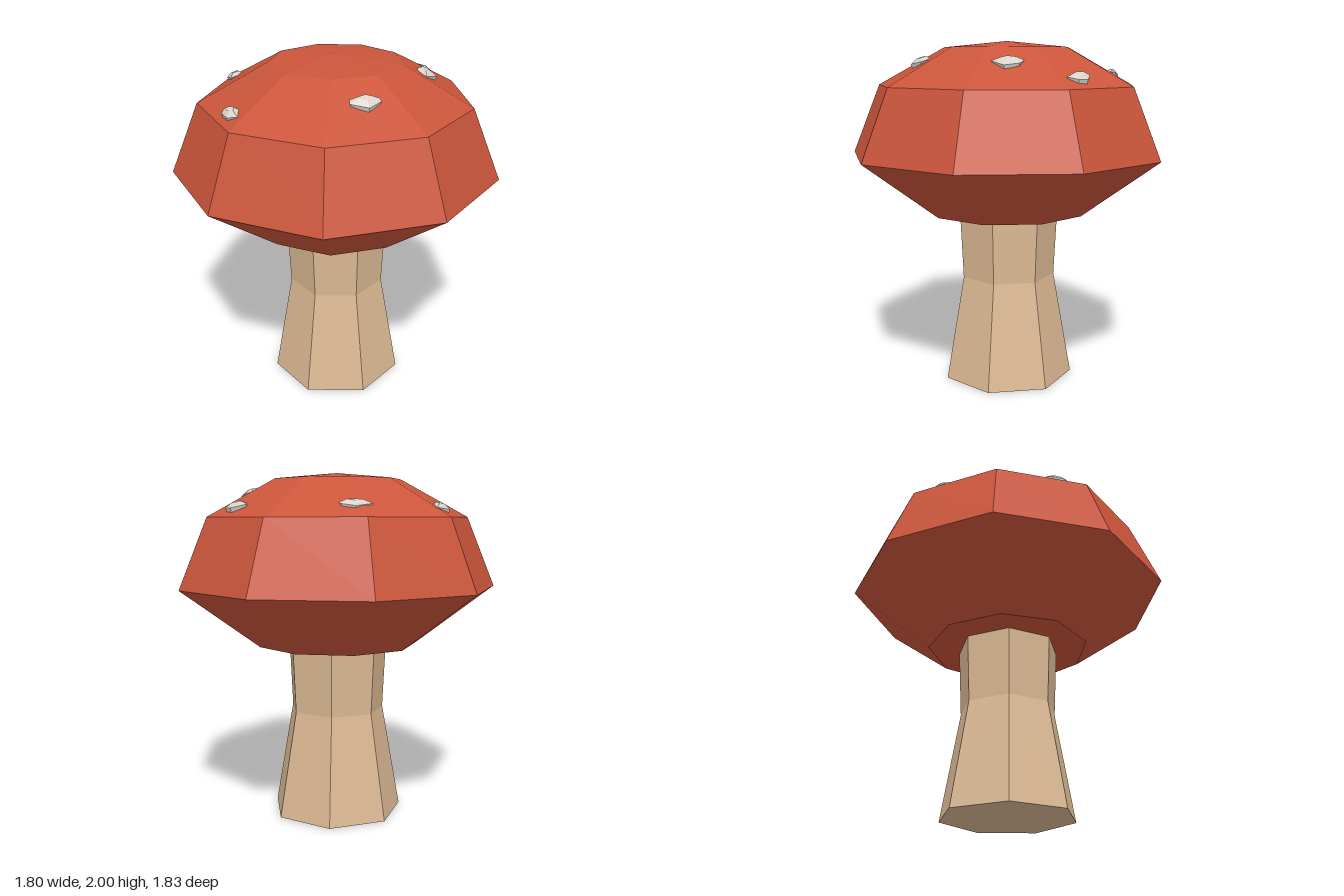
import * as THREE from 'three';
import { ConvexGeometry } from 'three/addons/geometries/ConvexGeometry.js';

const CENTRE_X = -0.03;

const paint = (name, color) => {
  const m = new THREE.MeshStandardMaterial({ color });
  m.name = name;
  return m;
};

// Faceted solid of revolution from [radius, y] pairs, bottom to top, one corner on +x
function faceted(name, profile, sides, material) {
  const points = profile.map(([r, y]) => new THREE.Vector2(r, y));
  const geometry = new THREE.LatheGeometry(points, sides, Math.PI / 2).toNonIndexed();
  geometry.computeVertexNormals();
  const mesh = new THREE.Mesh(geometry, material);
  mesh.name = name;
  mesh.position.x = CENTRE_X;
  return mesh;
}

// Small chipped patch: a seat sunk in the cap slope, a wide rim and a smaller crown
function patch(outline, height, material) {
  const n = outline.length;
  const cx = outline.reduce((s, p) => s + p[0], 0) / n;
  const cz = outline.reduce((s, p) => s + p[1], 0) / n;
  const out = new THREE.Vector2(cx - CENTRE_X, cz).normalize();
  const points = [];
  for (const [x, z] of outline) {
    const dx = x - cx, dz = z - cz;
    const along = dx * out.x + dz * out.y;
    const add = (scale, lift, slope) => points.push(
      new THREE.Vector3(cx + dx * scale, height + lift - slope * along * scale, cz + dz * scale));
    add(0.8, -0.018, 0.58);
    add(1, 0.008, 0.3);
    add(0.45, 0.028, 0.3);
  }
  const mesh = new THREE.Mesh(new ConvexGeometry(points), material);
  mesh.name = 'capPatch';
  return mesh;
}

export function createModel() {
  const model = new THREE.Group();
  model.name = 'mushroom';
  const red = paint('cap red', 0xcb553b);
  const tan = paint('stem tan', 0xdcba94);
  const grey = paint('patch pale grey', 0xdbd3cc);

  // Seven-sided stem, narrowest above the middle
  model.add(faceted('stem',
    [[0, 0], [0.39, 0], [0.28, 0.62], [0.3, 1.03], [0, 1.03]], 7, tan));

  // Nine-sided cap with a flat underside
  model.add(faceted('cap',
    [[0, 1.01], [0.47, 1.01], [0.93, 1.35], [0.765, 1.75], [0.37, 1.965], [0, 2]], 9, red));

  // Patches: plan outline as [x, z] corners, and height of the cap surface there
  const patches = [
    [[[-0.4, -0.52], [-0.335, -0.6], [-0.25, -0.6], [-0.235, -0.58], [-0.29, -0.545], [-0.36, -0.53]], 1.81],
    [[[0.285, -0.545], [0.38, -0.555], [0.43, -0.515], [0.44, -0.455], [0.36, -0.465], [0.305, -0.505]], 1.803],
    [[[0.4, -0.22], [0.455, -0.21], [0.51, -0.14], [0.465, -0.055], [0.4, -0.1], [0.39, -0.165]], 1.882],
    [[[0.15, 0.45], [0.21, 0.38], [0.285, 0.375], [0.305, 0.4], [0.26, 0.48], [0.16, 0.485]], 1.88],
    [[[-0.515, 0.46], [-0.475, 0.445], [-0.42, 0.48], [-0.4, 0.56], [-0.46, 0.555], [-0.51, 0.5]], 1.79],
    [[[-0.665, -0.21], [-0.62, -0.13], [-0.63, -0.08], [-0.66, -0.035], [-0.715, -0.12], [-0.7, -0.15]], 1.797],
  ];
  for (const [outline, height] of patches) model.add(patch(outline, height, grey));

  return model;
}
